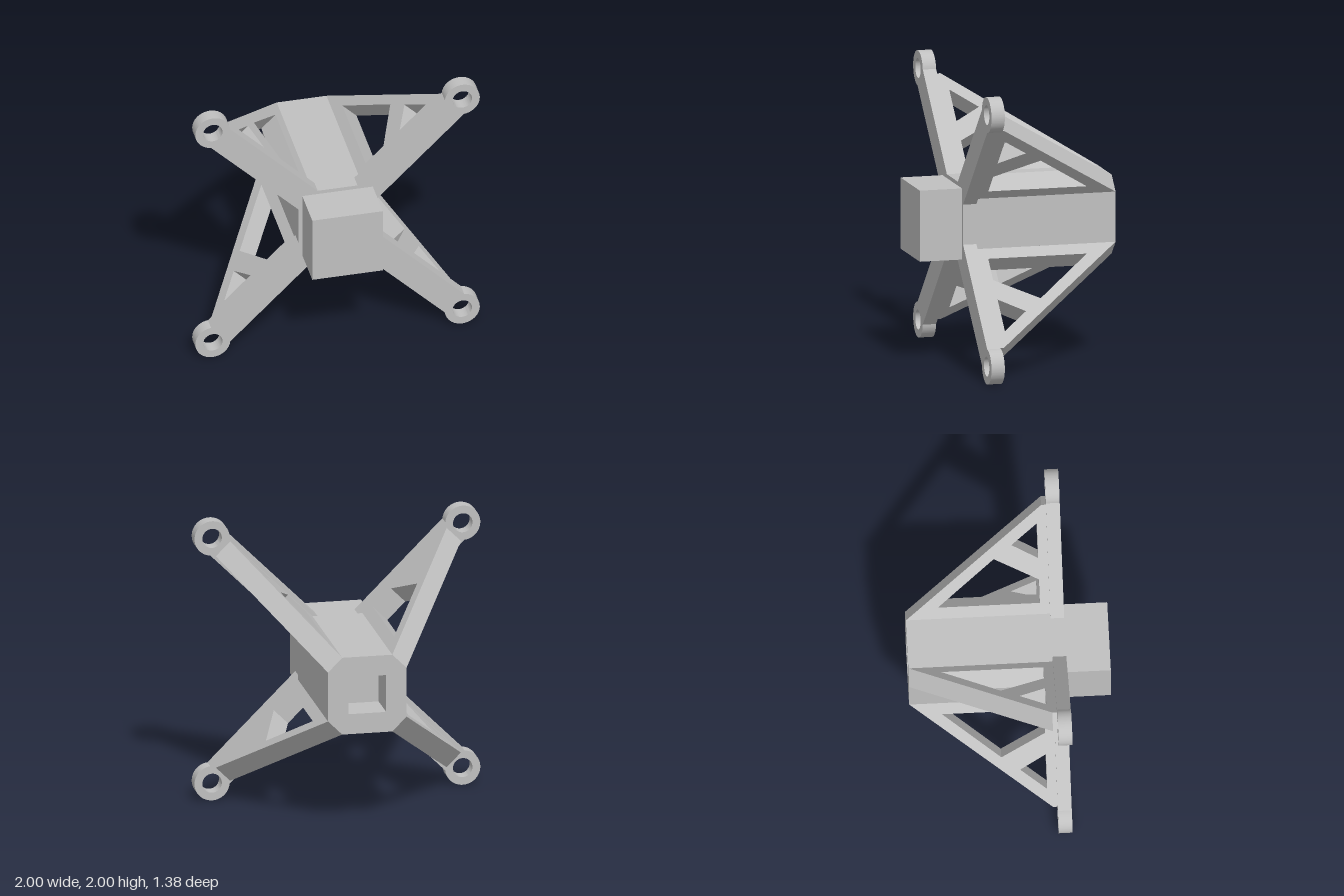
import * as THREE from 'three';
import { toCreasedNormals } from 'three/addons/utils/BufferGeometryUtils.js';

const BACK = -0.692, PLATE_BACK = 0.297, PLATE_FRONT = 0.392, FRONT = 0.692;
const PIT_DEPTH = 0.25;

const polygon = (points) => points.map(([x, y]) => new THREE.Vector2(x, y));

// Extrudes a shape from z0 to z1
function extrude(shape, z0, z1) {
  const geometry = new THREE.ExtrudeGeometry(shape, { depth: z1 - z0, bevelEnabled: false, curveSegments: 48 });
  geometry.translate(0, 0, z0);
  return toCreasedNormals(geometry, 0.5);
}

export function createModel() {
  const model = new THREE.Group();
  model.name = 'motorMount';
  const grey = new THREE.MeshStandardMaterial({ color: 0xc0c0c0 });
  grey.name = 'lightGrey';

  const add = (parent, name, geometry) => {
    const mesh = new THREE.Mesh(geometry, grey);
    mesh.name = name;
    parent.add(mesh);
    return mesh;
  };

  const frame = new THREE.Group();
  frame.name = 'frame';
  frame.position.y = 1;
  model.add(frame);

  // Octagonal body with a square socket in its back end
  const a = 0.275, b = 0.175, s = 0.132;
  const octagon = () => new THREE.Shape(polygon(
    [[a, -b], [a, b], [b, a], [-b, a], [-a, b], [-a, -b], [-b, -a], [b, -a]]));
  const socketed = octagon();
  socketed.holes.push(new THREE.Path(polygon([[-s, -s], [-s, s], [s, s], [s, -s]])));
  add(frame, 'body', extrude(octagon(), BACK + PIT_DEPTH, PLATE_FRONT));
  add(frame, 'bodySocket', extrude(socketed, BACK, BACK + PIT_DEPTH));

  // Square block on the front
  add(frame, 'frontBlock', new THREE.BoxGeometry(0.496, 0.496, FRONT - PLATE_FRONT))
    .position.z = (FRONT + PLATE_FRONT) / 2;

  // Flat arm ending in a round eyelet
  const half = 0.0955, radius = 0.123, reach = 0.877 * Math.SQRT2;
  const join = Math.PI - Math.asin(half / radius);
  const armShape = new THREE.Shape();
  armShape.moveTo(0.293, half);
  armShape.lineTo(0.293, -half);
  armShape.absarc(reach, 0, radius, -join, join, false);
  armShape.closePath();
  const eye = new THREE.Path();
  eye.absarc(reach, 0, 0.068, 0, Math.PI * 2, true);
  armShape.holes.push(eye);
  const armGeometry = extrude(armShape, PLATE_BACK, PLATE_FRONT);

  // Triangular gusset with two openings: [distance from axis, z]
  const side = (points) => polygon(points.map(([d, z]) => [d, -z]));
  const gussetShape = new THREE.Shape(side(
    [[0.318, PLATE_BACK], [1.142, PLATE_BACK], [1.142, 0.265], [0.318, BACK]]));
  gussetShape.holes.push(
    new THREE.Path(side([[0.403, -0.47], [0.403, 0.23], [0.58, 0.23], [0.749, -0.075]])),
    new THREE.Path(side([[0.742, 0.23], [1.004, 0.23], [0.849, 0.05]])));
  const gussetGeometry = extrude(gussetShape, -0.0707, 0.0707);
  gussetGeometry.rotateX(-Math.PI / 2);

  // Four identical arms on the diagonals
  for (let i = 0; i < 4; i++) {
    const leg = new THREE.Group();
    leg.name = `leg${i + 1}`;
    leg.rotation.z = Math.PI / 4 + i * Math.PI / 2;
    add(leg, 'arm', armGeometry);
    add(leg, 'gusset', gussetGeometry);
    frame.add(leg);
  }
  return model;
}
